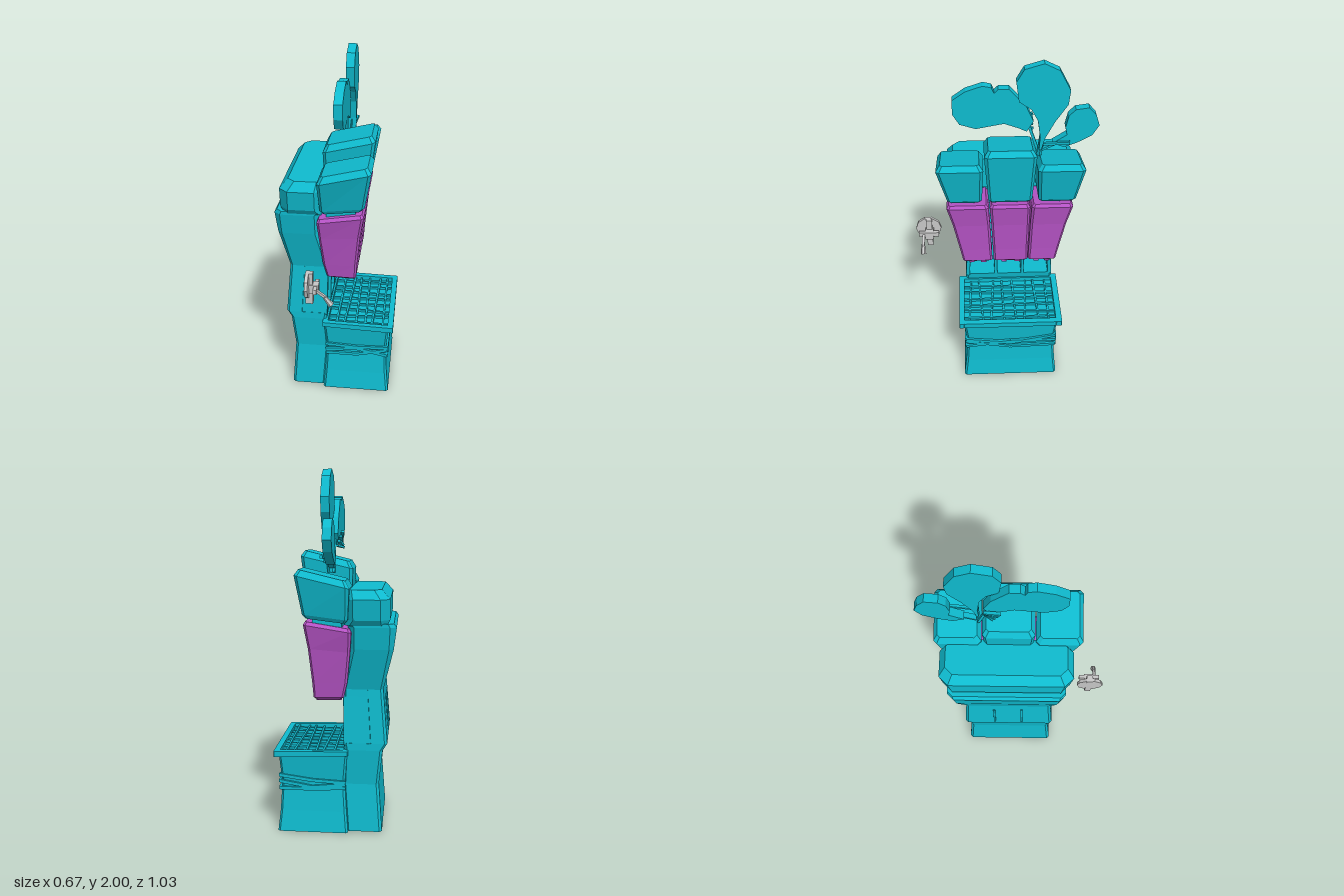
import * as THREE from 'three';

const mat = (name, color, opts = {}) => {
  const m = new THREE.MeshStandardMaterial({ color, ...opts });
  m.name = name;
  return m;
};

export function createModel() {
  const teal = mat('teal', 0x0fbcd0, { flatShading: true });
  const purple = mat('purple', 0xb955c9, { flatShading: true });
  const grey = mat('grey', 0xc8c8c8, { flatShading: true });
  const root = new THREE.Group();
  root.name = 'dispenser';

  const add = (name, geo, m, parent = root) => {
    const mesh = new THREE.Mesh(geo, m);
    mesh.name = name;
    parent.add(mesh);
    return mesh;
  };
  const group = (name) => {
    const g = new THREE.Group();
    g.name = name;
    root.add(g);
    return g;
  };

  // Stack of chamfered rectangles; each section is [y, x0, x1, z0, z1, chamfer, slope along x]
  const loft = (sections) => {
    const rings = sections.map(([y, x0, x1, z0, z1, c = 0.001, s = 0]) =>
      [[x0 + c, z1], [x1 - c, z1], [x1, z1 - c], [x1, z0 + c],
        [x1 - c, z0], [x0 + c, z0], [x0, z0 + c], [x0, z1 - c]]
        .map(([x, z]) => [x, y + s * x, z]));
    const pos = [];
    const tri = (a, b, c) => pos.push(...a, ...b, ...c);
    for (let i = 0; i + 1 < rings.length; i++) {
      for (let k = 0; k < 8; k++) {
        const n = (k + 1) % 8, lo = rings[i], hi = rings[i + 1];
        tri(lo[k], lo[n], hi[n]);
        tri(lo[k], hi[n], hi[k]);
      }
    }
    const bottom = rings[0], top = rings[rings.length - 1];
    for (let k = 1; k < 7; k++) {
      tri(bottom[0], bottom[k + 1], bottom[k]);
      tri(top[0], top[k], top[k + 1]);
    }
    const g = new THREE.BufferGeometry();
    g.setAttribute('position', new THREE.Float32BufferAttribute(pos, 3));
    g.computeVertexNormals();
    return g;
  };

  // Square bar between two points
  const beam = (name, a, b, w, h, m, parent) => {
    const p = new THREE.Vector3(...a), q = new THREE.Vector3(...b);
    const mesh = add(name, new THREE.BoxGeometry(w, h, p.distanceTo(q)), m, parent);
    mesh.position.copy(p).add(q).multiplyScalar(0.5);
    mesh.lookAt(q);
    return mesh;
  };

  // Rear cabinet
  const body = group('cabinet');
  add('lowerCabinet', loft([
    [0.01, -0.27, -0.07, -0.315, 0.23, 0.015],
    [0.28, -0.25, -0.05, -0.295, 0.21, 0.015],
    [0.48, -0.27, -0.06, -0.315, 0.225, 0.015],
    [0.52, -0.295, -0.055, -0.315, 0.225, 0.015],
  ]), teal, body);
  add('nicheBack', loft([
    [0.52, -0.295, -0.19, -0.315, 0.225, 0.015],
    [0.82, -0.27, -0.17, -0.295, 0.205, 0.015],
  ]), teal, body);
  // Niche side walls and dividers, which show as ribs on the back
  const wall = (name, z0, z1, zTop0, zTop1) => add(name, loft([
    [0.51, -0.25, -0.055, z0, z1], [0.82, -0.23, -0.05, zTop0, zTop1],
  ]), teal, body);
  wall('nicheWallLeft', 0.2, 0.224, 0.18, 0.204);
  wall('nicheWallRight', -0.314, -0.29, -0.294, -0.27);
  for (const z of [0.035, -0.13]) {
    add('nicheDivider', loft([
      [0.52, -0.2, -0.055, z - 0.009, z + 0.009], [0.82, -0.18, -0.05, z - 0.009, z + 0.009],
    ]), teal, body);
    add('backRib', loft([
      [0.56, -0.298, -0.2, z - 0.006, z + 0.006], [0.76, -0.281, -0.2, z - 0.006, z + 0.006],
    ]), teal, body);
  }
  add('upperCabinet', loft([
    [0.77, -0.273, -0.05, -0.297, 0.207, 0.015],
    [0.82, -0.27, -0.05, -0.295, 0.205, 0.015],
    [1.05, -0.325, -0.09, -0.355, 0.255, 0.025],
    [1.17, -0.34, -0.08, -0.375, 0.275, 0.035],
    [1.19, -0.325, -0.07, -0.375, 0.275, 0.03],
  ]), teal, body);
  add('cabinetTop', loft([
    [1.18, -0.29, -0.06, -0.375, 0.275, 0.03],
    [1.21, -0.305, -0.06, -0.395, 0.295, 0.05],
    [1.32, -0.305, -0.06, -0.41, 0.31, 0.05],
    [1.37, -0.26, -0.06, -0.375, 0.275, 0.04],
  ]), teal, body);

  // Three head blocks: [bottom z0, z1, top z0, z1, top height]
  const heads = group('headBlocks');
  [[0.115, 0.305, 0.105, 0.357, 1.44], [-0.16, 0.08, -0.178, 0.1, 1.525],
    [-0.4, -0.195, -0.44, -0.185, 1.435]].forEach(([a, b, c, d, h]) => {
    const i = 0.022;
    add('headBlock', loft([
      [1.2, -0.065, 0.14, a + 0.012, b - 0.012, 0.01, 0.12],
      [1.22, -0.082, 0.16, a, b, 0.014, 0.12],
      [h - 0.035, -0.092, 0.197, c, d, 0.018, 0.24],
      [h, -0.07, 0.175, c + i, d - i, 0.014, 0.24],
    ]), teal, heads);
    add('headNeck', loft([
      [1.15, -0.05, 0.11, a + 0.03, b - 0.03], [1.23, -0.05, 0.11, a + 0.03, b - 0.03],
    ]), teal, heads);
  });

  // Three purple panels: [bottom z0, z1, top z0, z1]
  const panels = group('panels');
  [[0.06, 0.232, 0.08, 0.312], [-0.147, 0.052, -0.152, 0.073],
    [-0.312, -0.15, -0.39, -0.16]].forEach(([a, b, c, d]) => {
    add('panel', loft([
      [0.755, -0.03, 0.09, a + 0.03, b - 0.03, 0.008, -0.03],
      [0.775, -0.055, 0.111, a, b, 0.01, -0.02],
      [0.86, -0.075, 0.117, a + (c - a) * 0.2, b + (d - b) * 0.2, 0.012],
      [1.04, -0.092, 0.135, a + (c - a) * 0.62, b + (d - b) * 0.62, 0.012, 0.08],
      [1.158, -0.1, 0.157, c, d, 0.014, 0.16],
      [1.177, -0.09, 0.146, c + 0.012, d - 0.012, 0.01, 0.16],
    ]), purple, panels);
    for (const t of [0.3, 0.7]) {
      const z = a + (b - a) * t;
      beam('panelFoot', [-0.04, 0.765, z], [0.1, 0.76, z], 0.03, 0.02, purple, panels);
    }
  });

  // Front basin with flared rim
  const basin = group('basin');
  add('basinBody', loft([
    [0, -0.08, 0.315, -0.328, 0.247, 0.012],
    [0.12, -0.07, 0.302, -0.315, 0.232, 0.012],
    [0.28, -0.06, 0.293, -0.304, 0.22, 0.012],
    [0.445, -0.075, 0.308, -0.322, 0.24, 0.012],
  ]), teal, basin);
  const rim = (x0, x1, z0, z1) => add('basinRim', loft([
    [0.45, x0, x1, z0, z1, 0.003, -0.04], [0.478, x0, x1, z0, z1, 0.003, -0.025],
  ]), teal, basin);
  rim(-0.08, 0.333, 0.235, 0.265);
  rim(-0.08, 0.333, -0.345, -0.31);
  rim(0.3, 0.333, -0.312, 0.237);
  rim(-0.08, -0.05, -0.312, 0.237);

  // Uneven grate
  for (let i = 0; i < 8; i++) {
    const z = -0.27 + i * 0.067, t = 0.012 * Math.sin(i * 2.3);
    beam('grateCrossbar', [-0.05, 0.452, z + t], [0.3, 0.45, z - t], 0.011, 0.016, teal, basin);
  }
  for (let i = 0; i < 6; i++) {
    const x = 0 + i * 0.054, t = 0.01 * Math.sin(i * 1.9);
    beam('grateBar', [x + t, 0.455, -0.31], [x - t, 0.455, 0.235], 0.011, 0.016, teal, basin);
  }

  // Crooked straps wound around the basin
  const around = [[-0.065, 0.228], [0.12, 0.23], [0.301, 0.228], [0.301, -0.04],
    [0.301, -0.312], [0.12, -0.312], [-0.065, -0.312]];
  [[0.31, 0.3, 0.305, 0.27, 0.325, 0.3, 0.29], [0.27, 0.29, 0.25, 0.285, 0.29, 0.26, 0.28],
    [0.25, 0.25, 0.29, 0.24, 0.25, 0.25, 0.26]].forEach((ys) => {
    for (let i = 0; i + 1 < around.length; i++) {
      const at = (k) => [around[k][0], ys[k], around[k][1]];
      beam('strap', at(i), at(i + 1), 0.014, 0.018, teal, basin);
    }
  });

  // Leaves: outlines given as [z, y], thickness along x
  const plant = group('plant');
  const leaf = (name, x, depth, pts) => {
    const shape = new THREE.Shape(pts.map(([z, y]) => new THREE.Vector2(-z, y)));
    const g = new THREE.ExtrudeGeometry(shape, { depth, bevelEnabled: false });
    g.rotateY(Math.PI / 2);
    g.translate(x, 0, 0);
    add(name, g, teal, plant);
  };
  leaf('tallLeaf', 0.018, 0.047, [[-0.21, 2], [-0.29, 1.96], [-0.348, 1.85], [-0.34, 1.77],
    [-0.275, 1.67], [-0.225, 1.57], [-0.208, 1.5], [-0.196, 1.5], [-0.2, 1.58], [-0.185, 1.68],
    [-0.15, 1.745], [-0.085, 1.79], [-0.07, 1.9], [-0.11, 1.97]]);
  leaf('broadLeaf', -0.01, 0.048, [[0.26, 1.79], [0.26, 1.71], [0.225, 1.65], [0.14, 1.622],
    [-0.01, 1.65], [-0.09, 1.62], [-0.13, 1.6], [-0.165, 1.66], [-0.125, 1.75], [-0.035, 1.85],
    [0.02, 1.85], [0.042, 1.828], [0.055, 1.86], [0.1, 1.87], [0.19, 1.84]]);
  leaf('smallLeaf', -0.01, 0.048, [[-0.385, 1.725], [-0.455, 1.735], [-0.495, 1.69],
    [-0.515, 1.63], [-0.48, 1.57], [-0.4, 1.525], [-0.33, 1.5], [-0.27, 1.525], [-0.345, 1.575],
    [-0.335, 1.62], [-0.35, 1.69]]);
  // Stems and tangled shoots
  beam('stem', [0.03, 1.45, -0.2], [0.04, 1.57, -0.21], 0.02, 0.02, teal, plant);
  beam('stem', [0.01, 1.45, -0.2], [0.01, 1.63, -0.14], 0.015, 0.015, teal, plant);
  beam('stem', [0.02, 1.48, -0.21], [0.02, 1.54, -0.33], 0.03, 0.012, teal, plant);
  beam('stem', [0.05, 1.53, -0.22], [0.06, 1.54, -0.36], 0.015, 0.015, teal, plant);
  for (let i = 0; i < 4; i++) {
    beam('shoot', [-0.035 + i * 0.01, 1.67 - i * 0.025, -0.165],
      [-0.02 - i * 0.005, 1.62 - i * 0.012, -0.08 - i * 0.012], 0.018, 0.012, teal, plant);
  }

  // Side tap with disc, cross handle and lever
  const tap = group('tap');
  const disc = add('tapDisc', new THREE.CylinderGeometry(0.076, 0.076, 0.018, 10), grey, tap);
  disc.rotation.z = Math.PI / 2;
  disc.position.set(-0.131, 0.84, 0.44);
  beam('tapHub', [-0.14, 0.82, 0.435], [-0.07, 0.82, 0.435], 0.05, 0.05, grey, tap);
  beam('tapCrossbar', [-0.086, 0.825, 0.378], [-0.086, 0.825, 0.497], 0.02, 0.03, grey, tap);
  beam('tapUpright', [-0.122, 0.725, 0.435], [-0.122, 0.912, 0.435], 0.04, 0.034, grey, tap);
  beam('tapLever', [-0.085, 0.825, 0.47], [-0.03, 0.785, 0.472], 0.016, 0.014, grey, tap);
  const tip = add('tapLeverTip', new THREE.CylinderGeometry(0.01, 0.017, 0.06, 6), grey, tap);
  tip.position.set(-0.017, 0.763, 0.473);
  tip.rotation.z = 0.65;

  return root;
}
